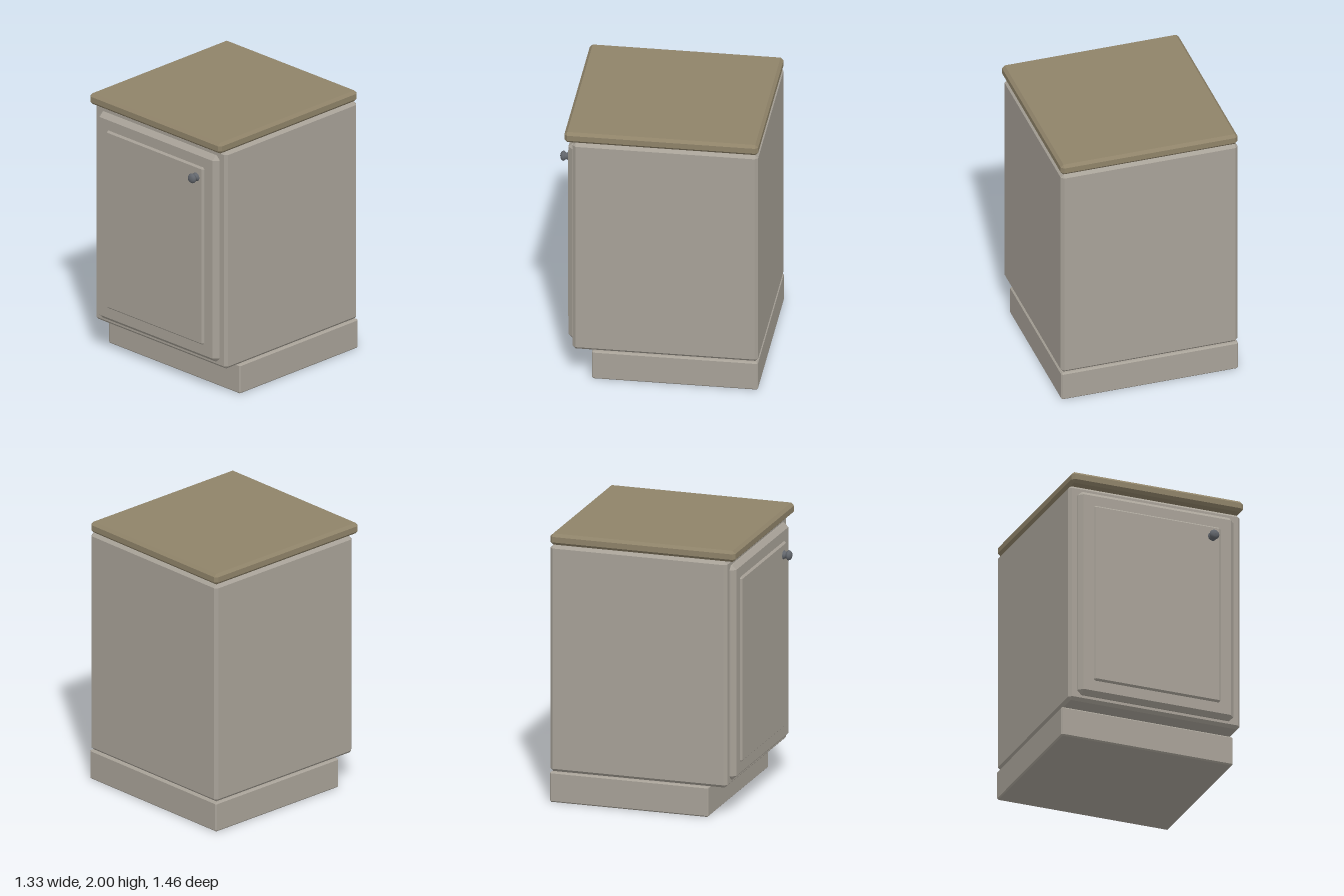
import * as THREE from 'three';
import { ConvexGeometry } from 'three/addons/geometries/ConvexGeometry.js';

const paint = new THREE.MeshStandardMaterial({ color: 0xa8a298 });
const wood = new THREE.MeshStandardMaterial({ color: 0x8f8369 });
const metal = new THREE.MeshStandardMaterial({ color: 0x62666c });

// Box between two corners with every edge chamfered by c
function chamferBox(name, min, max, c, material) {
  const size = max.map((v, i) => (v - min[i]) / 2);
  const mid = max.map((v, i) => (v + min[i]) / 2);
  const points = [];
  for (const sx of [-1, 1]) for (const sy of [-1, 1]) for (const sz of [-1, 1]) {
    for (let axis = 0; axis < 3; axis++) {
      const p = [sx, sy, sz].map((s, i) => s * (size[i] - (i === axis ? 0 : c)));
      points.push(new THREE.Vector3(...p));
    }
  }
  const mesh = new THREE.Mesh(new ConvexGeometry(points), material);
  mesh.name = name;
  mesh.position.set(...mid);
  return mesh;
}

export function createModel() {
  const group = new THREE.Group();
  group.name = 'cabinet';

  // Recessed plinth, carcass and worktop share the same back plane
  group.add(chamferBox('plinth', [-0.665, 0, -0.73], [0.665, 0.225, 0.47], 0.01, paint));
  group.add(chamferBox('carcass', [-0.665, 0.228, -0.73], [0.665, 1.915, 0.61], 0.022, paint));
  group.add(chamferBox('worktop', [-0.665, 1.917, -0.73], [0.665, 2, 0.67], 0.021, wood));

  // Door with raised centre panel
  group.add(chamferBox('door', [-0.603, 0.27, 0.575], [0.603, 1.87, 0.652], 0.032, paint));
  group.add(chamferBox('doorPanel', [-0.493, 0.383, 0.62], [0.488, 1.76, 0.668], 0.012, paint));

  // Turned knob: flared foot, narrow neck, rounded head
  const profile = new THREE.SplineCurve([
    [0.036, 0], [0.031, 0.01], [0.024, 0.023], [0.027, 0.031], [0.036, 0.042],
    [0.034, 0.054], [0.022, 0.065], [0, 0.07],
  ].map(([r, h]) => new THREE.Vector2(r, h))).getPoints(21);
  profile[profile.length - 1].x = 0;
  const knob = new THREE.Mesh(new THREE.LatheGeometry(profile, 24), metal);
  knob.name = 'knob';
  knob.rotation.x = Math.PI / 2;
  knob.position.set(0.42, 1.675, 0.662);
  group.add(knob);

  return group;
}
